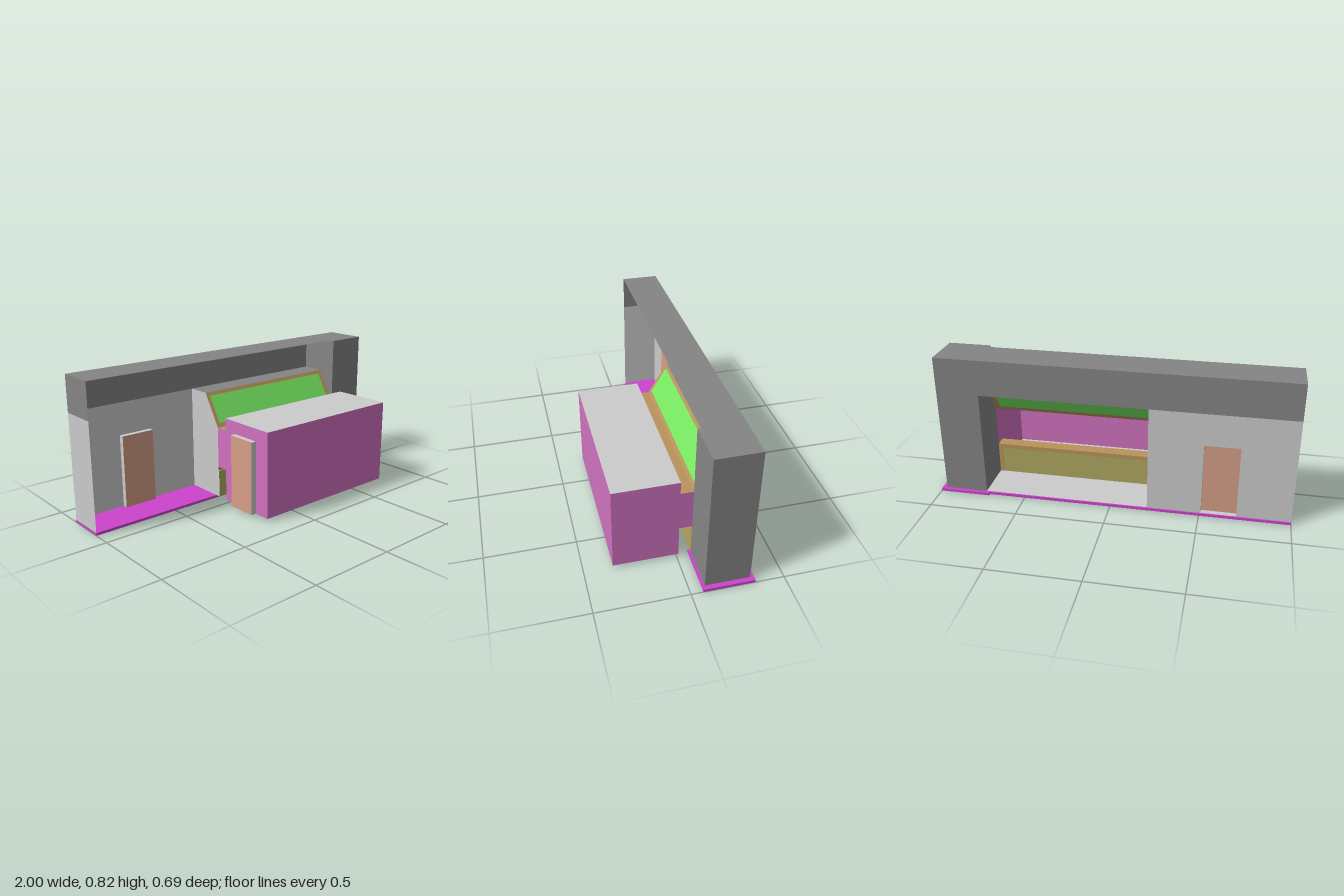
import * as THREE from 'three';

const mat = (color) => new THREE.MeshStandardMaterial({ color, side: THREE.DoubleSide });
const M = {
  grey: mat(0xcccccc), dark: mat(0x858585), pink: mat(0xd172c0), base: mat(0xcc44cc),
  door: mat(0xd6a088), brown: mat(0xb9935c), olive: mat(0xb0a860), green: mat(0x78e862),
};

function add(group, name, geometry, material) {
  const mesh = new THREE.Mesh(geometry, material);
  mesh.name = name;
  group.add(mesh);
  return mesh;
}

// Solid block between two corners
function block(group, name, material, [x0, y0, z0], [x1, y1, z1]) {
  const m = add(group, name, new THREE.BoxGeometry(x1 - x0, y1 - y0, z1 - z0), material);
  m.position.set((x0 + x1) / 2, (y0 + y1) / 2, (z0 + z1) / 2);
}

// Flat convex panel through a loop of corners
function panel(group, name, material, ...pts) {
  const g = new THREE.BufferGeometry();
  g.setAttribute('position', new THREE.Float32BufferAttribute(pts.flat(), 3));
  const index = [];
  for (let i = 1; i < pts.length - 1; i++) index.push(0, i, i + 1);
  g.setIndex(index);
  g.computeVertexNormals();
  add(group, name, g, material);
}

// Panels lying square to one axis
const panelX = (g, n, m, x, z0, z1, y0, y1) =>
  panel(g, n, m, [x, y0, z0], [x, y1, z0], [x, y1, z1], [x, y0, z1]);
const panelY = (g, n, m, y, x0, x1, z0, z1) =>
  panel(g, n, m, [x0, y, z0], [x0, y, z1], [x1, y, z1], [x1, y, z0]);
const panelZ = (g, n, m, z, x0, x1, y0, y1) =>
  panel(g, n, m, [x0, y0, z], [x1, y0, z], [x1, y1, z], [x0, y1, z]);

function rectPoints(u0, v0, u1, v1) {
  return [[u0, v0], [u1, v0], [u1, v1], [u0, v1]].map(([u, v]) => new THREE.Vector2(u, v));
}

// Wall with a doorway; the door sits at the end of a shallow reveal along local +z
function doorWall(name, material, u0, u1, top, d0, d1) {
  const g = new THREE.Group();
  g.name = name;
  const head = 0.435, depth = 0.03;
  const outline = [[u0, FLOOR], [d0, FLOOR], [d0, head], [d1, head], [d1, FLOOR], [u1, FLOOR], [u1, top], [u0, top]];
  const shape = new THREE.Shape(outline.map(([u, v]) => new THREE.Vector2(u, v)));
  add(g, 'wallFace', new THREE.ShapeGeometry(shape), material);
  for (const u of [d0, d1]) panelX(g, 'doorJamb', M.grey, u, 0, depth, FLOOR, head);
  panelY(g, 'doorHead', M.grey, head, d0, d1, 0, depth);
  panelY(g, 'doorStep', M.grey, FLOOR + 0.001, d0, d1, 0, depth);
  panelZ(g, 'door', M.door, depth, d0, d1, FLOOR, head);
  return g;
}

const FLOOR = 0.015, BACK = -0.323, FRONT = -0.105, SILL = -0.08;
const LEFT = -0.21, RIGHT = 0.73, BEAM = 0.62, TOP = 0.825;

export function createModel() {
  const model = new THREE.Group();

  // Base slabs
  block(model, 'baseSlab', M.base, [-1, 0, -0.33], [0.71, FLOOR, FRONT]);
  block(model, 'pillarBase', M.base, [0.71, 0, -0.344], [1, FLOOR, -0.066]);

  // End pillar and the open-fronted beam
  block(model, 'pillar', M.dark, [RIGHT, FLOOR, BACK], [0.973, TOP, SILL]);
  panelY(model, 'beamTop', M.dark, TOP, -1, RIGHT, BACK, FRONT);
  panelZ(model, 'beamBack', M.dark, BACK, -1, RIGHT, BEAM, TOP);
  panelX(model, 'beamEnd', M.dark, -1, BACK, FRONT, BEAM, TOP);
  panelY(model, 'beamSoffit', M.dark, BEAM, LEFT, RIGHT, BACK, -0.19);

  // Rear wall with door, end wall and return wall beside the opening
  const rear = doorWall('rearWall', M.grey, -1, LEFT, BEAM, -0.705, -0.51);
  rear.position.z = BACK;
  model.add(rear);
  panelX(model, 'endWall', M.grey, -1, BACK, FRONT, FLOOR, BEAM);
  panel(model, 'returnWall', M.grey, [LEFT, FLOOR, BACK], [LEFT, FLOOR, SILL], [LEFT, 0.435, SILL],
    [LEFT, BEAM, -0.19], [LEFT, BEAM, BACK]);
  panelY(model, 'openingFloor', M.grey, FLOOR + 0.001, LEFT, RIGHT, BACK, SILL);

  // Sloping window: local y runs up the slope
  const slope = new THREE.Group();
  slope.name = 'slopingWindow';
  const rise = 0.185, run = 0.11, len = Math.hypot(rise, run);
  const frame = new THREE.Shape(rectPoints(LEFT, 0, RIGHT, len));
  const glass = rectPoints(LEFT + 0.022, 0.025, RIGHT - 0.03, len - 0.022);
  frame.holes.push(new THREE.Path(glass));
  add(slope, 'windowFrame', new THREE.ShapeGeometry(frame), M.brown);
  add(slope, 'windowGlass', new THREE.ShapeGeometry(new THREE.Shape(glass)), M.green);
  slope.position.set(0, 0.435, SILL);
  slope.rotation.x = -Math.atan2(run, rise);
  model.add(slope);

  // Short passage between the opening and the room
  const roomBack = -0.01, roomFront = 0.345, roomTop = 0.507;
  for (const x of [LEFT, RIGHT]) panelX(model, 'passageSide', M.pink, x, SILL, roomBack, 0.2, 0.435);
  panelY(model, 'passageTop', M.brown, 0.435, LEFT, RIGHT, SILL, roomBack);
  panelY(model, 'counterTop', M.brown, 0.2, LEFT, RIGHT, SILL, roomBack);
  panelZ(model, 'counterEdge', M.brown, SILL, LEFT, RIGHT, 0.175, 0.2);
  panelZ(model, 'counterPost', M.brown, SILL, RIGHT - 0.03, RIGHT, FLOOR, 0.175);
  panelZ(model, 'counterPanel', M.olive, -0.075, LEFT, RIGHT, FLOOR, 0.175);

  // Projecting room, open towards the passage
  panelZ(model, 'roomFront', M.pink, roomFront, LEFT, RIGHT, FLOOR, roomTop);
  panelX(model, 'roomSide', M.pink, RIGHT, roomBack, roomFront, FLOOR, roomTop);
  const side = doorWall('roomDoorSide', M.pink, roomBack, roomFront, roomTop, 0.075, 0.25);
  side.rotation.y = -Math.PI / 2;
  side.position.x = LEFT;
  model.add(side);
  panelY(model, 'roomRoof', M.grey, roomTop, LEFT, RIGHT, roomBack, roomFront);
  panelY(model, 'roomFloor', M.grey, FLOOR, LEFT, RIGHT, roomBack, roomFront);
  panelZ(model, 'roomBackLower', M.brown, roomBack, LEFT, RIGHT, FLOOR, 0.2);
  panelZ(model, 'roomBackUpper', M.brown, roomBack, LEFT, RIGHT, 0.435, roomTop);

  return model;
}
